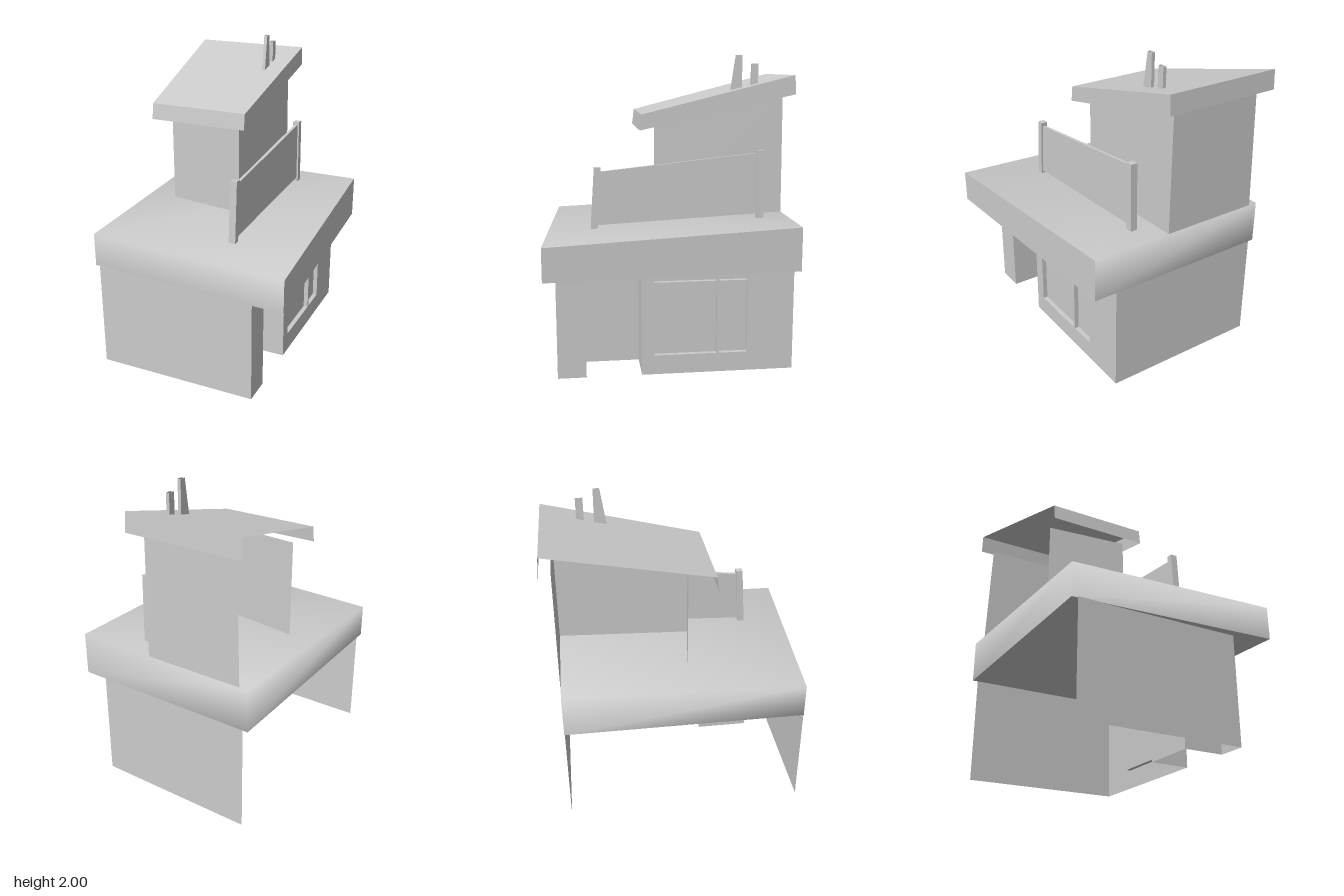
import * as THREE from 'three';

const material = new THREE.MeshStandardMaterial({ color: 0xcccccc, side: THREE.DoubleSide });

// Corner order: frontLeft, frontRight, backRight, backLeft (bottom ring, then top ring)
const FACES = {
  bottom: [3, 2, 1, 0], top: [4, 5, 6, 7], front: [0, 1, 5, 4],
  right: [1, 2, 6, 5], back: [2, 3, 7, 6], left: [3, 0, 4, 7],
};
const ALL = Object.keys(FACES);

// Builds quads over shared corners; smooth keeps the shared normals
function quadMesh(name, corners, quads, smooth = false) {
  let geometry = new THREE.BufferGeometry();
  geometry.setAttribute('position', new THREE.Float32BufferAttribute(corners.flat(), 3));
  geometry.setIndex(quads.flatMap(([a, b, c, d]) => [a, b, c, a, c, d]));
  if (!smooth) geometry = geometry.toNonIndexed();
  geometry.computeVertexNormals();
  const mesh = new THREE.Mesh(geometry, material);
  mesh.name = name;
  return mesh;
}

// Six-sided solid, optionally with only some of its faces
function solid(name, corners, faces = ALL, smooth = false) {
  return quadMesh(name, corners, faces.map((f) => FACES[f]), smooth);
}

// Solid from an x range and the four side corners [z, y]:
// bottom front, bottom back, top back, top front
function sideSolid(name, x0, x1, [bf, bb, tb, tf], faces = ALL) {
  const at = (x, [z, y]) => [x, y, z];
  return solid(name, [
    at(x0, bf), at(x1, bf), at(x1, bb), at(x0, bb),
    at(x0, tf), at(x1, tf), at(x1, tb), at(x0, tb),
  ], faces);
}

// Upright wall panels along a path of [x, z] points
function wallPath(name, path, y0, y1) {
  const corners = path.flatMap(([x, z]) => [[x, y0, z], [x, y1, z]]);
  const quads = path.slice(1).map((_, i) => [2 * i, 2 * i + 2, 2 * i + 3, 2 * i + 1]);
  return quadMesh(name, corners, quads);
}

function box(name, w, h, d, x, y, z) {
  const mesh = new THREE.Mesh(new THREE.BoxGeometry(w, h, d), material);
  mesh.position.set(x, y, z);
  mesh.name = name;
  return mesh;
}

function createLowerHouse() {
  const group = new THREE.Group();
  group.name = 'lowerHouse';
  const top = 0.69, sill = 0.125, wallX = 0.43, paneX = 0.4;
  const z0 = 0.14, z1 = -0.455;
  const depth = wallX - paneX, midX = (wallX + paneX) / 2;

  // Front wall, doorway recess and the wall up to the window
  group.add(wallPath('frontWallAndDoorway', [
    [-0.62, 0.75], [wallX, 0.75], [wallX, 0.57], [0.17, 0.57],
    [0.17, 0.22], [wallX, 0.22], [wallX, z0],
  ], 0, top));
  group.add(wallPath('wallBelowWindow', [[wallX, z0], [wallX, z1]], 0, sill));
  group.add(wallPath('backWall', [[wallX, z1], [wallX, -0.755], [-0.62, -0.755]], 0, top));

  // Recessed window with sill and glazing bars
  group.add(wallPath('windowPane', [[wallX, z0], [paneX, z0], [paneX, z1], [wallX, z1]], sill, top));
  group.add(quadMesh('windowSill', [
    [paneX, sill, z0], [wallX, sill, z0], [wallX, sill, z1], [paneX, sill, z1],
  ], [[0, 1, 2, 3]]));
  group.add(box('windowPost', depth, top - sill, 0.018, midX, (top + sill) / 2, -0.267));
  group.add(box('windowRail', depth, 0.012, z0 - z1, midX, 0.597, (z0 + z1) / 2));
  return group;
}

function createTerraceRoof() {
  const group = new THREE.Group();
  group.name = 'terraceRoof';
  const corners = [
    [-0.655, 0.687, 0.74], [0.655, 0.687, 0.82], [0.58, 0.687, -0.757], [-0.655, 0.687, -0.757],
    [-0.655, 0.902, 0.74], [0.655, 0.897, 0.82], [0.58, 0.963, -0.757], [-0.655, 0.963, -0.757],
  ];
  // Softly shaded shell, with a crisp side and underside
  group.add(solid('terraceShell', corners, ['top', 'front', 'back', 'left'], true));
  group.add(solid('terraceSideAndUnderside', corners, ['right', 'bottom']));
  return group;
}

function createTower() {
  const group = new THREE.Group();
  group.name = 'tower';

  // Three walls, open on one side, ending at the eaves
  group.add(solid('towerWalls', [
    [-0.47, 0.92, 0.025], [0.055, 0.92, 0.1], [0.055, 0.94, -0.757], [-0.597, 0.94, -0.757],
    [-0.47, 1.56, 0.025], [0.05, 1.547, 0.1], [0.05, 1.735, -0.753], [-0.573, 1.735, -0.753],
  ], ['front', 'right', 'back']));

  // Sloping roof shell, open below and on one side
  group.add(solid('towerRoof', [
    [-0.52, 1.525, 0.2], [0.13, 1.525, 0.2], [0.13, 1.75, -0.82], [-0.645, 1.75, -0.82],
    [-0.52, 1.627, 0.187], [0.13, 1.627, 0.187], [0.13, 1.873, -0.812], [-0.645, 1.873, -0.812],
  ], ['top', 'front', 'right', 'back']));

  // Two open pipes
  const pipeFaces = ['front', 'right', 'back', 'left'];
  group.add(sideSolid('tallPipe', -0.011, 0.011,
    [[-0.412, 1.77], [-0.488, 1.79], [-0.486, 2], [-0.446, 2]], pipeFaces));
  group.add(sideSolid('shortPipe', -0.011, 0.011,
    [[-0.549, 1.8], [-0.595, 1.81], [-0.595, 1.945], [-0.549, 1.945]], pipeFaces));
  return group;
}

function createScreen() {
  const group = new THREE.Group();
  group.name = 'terraceScreen';
  group.add(sideSolid('screenPanel', 0.188, 0.208,
    [[0.48, 0.932], [-0.56, 0.985], [-0.55, 1.38], [0.455, 1.275]]));
  group.add(sideSolid('frontPost', 0.175, 0.219,
    [[0.523, 0.908], [0.48, 0.908], [0.455, 1.3], [0.497, 1.302]]));
  group.add(sideSolid('backPost', 0.175, 0.219,
    [[-0.555, 0.953], [-0.6, 0.955], [-0.592, 1.397], [-0.547, 1.397]]));
  return group;
}

export function createModel() {
  const model = new THREE.Group();
  model.name = 'house';
  model.add(createLowerHouse(), createTerraceRoof(), createTower(), createScreen());
  return model;
}
